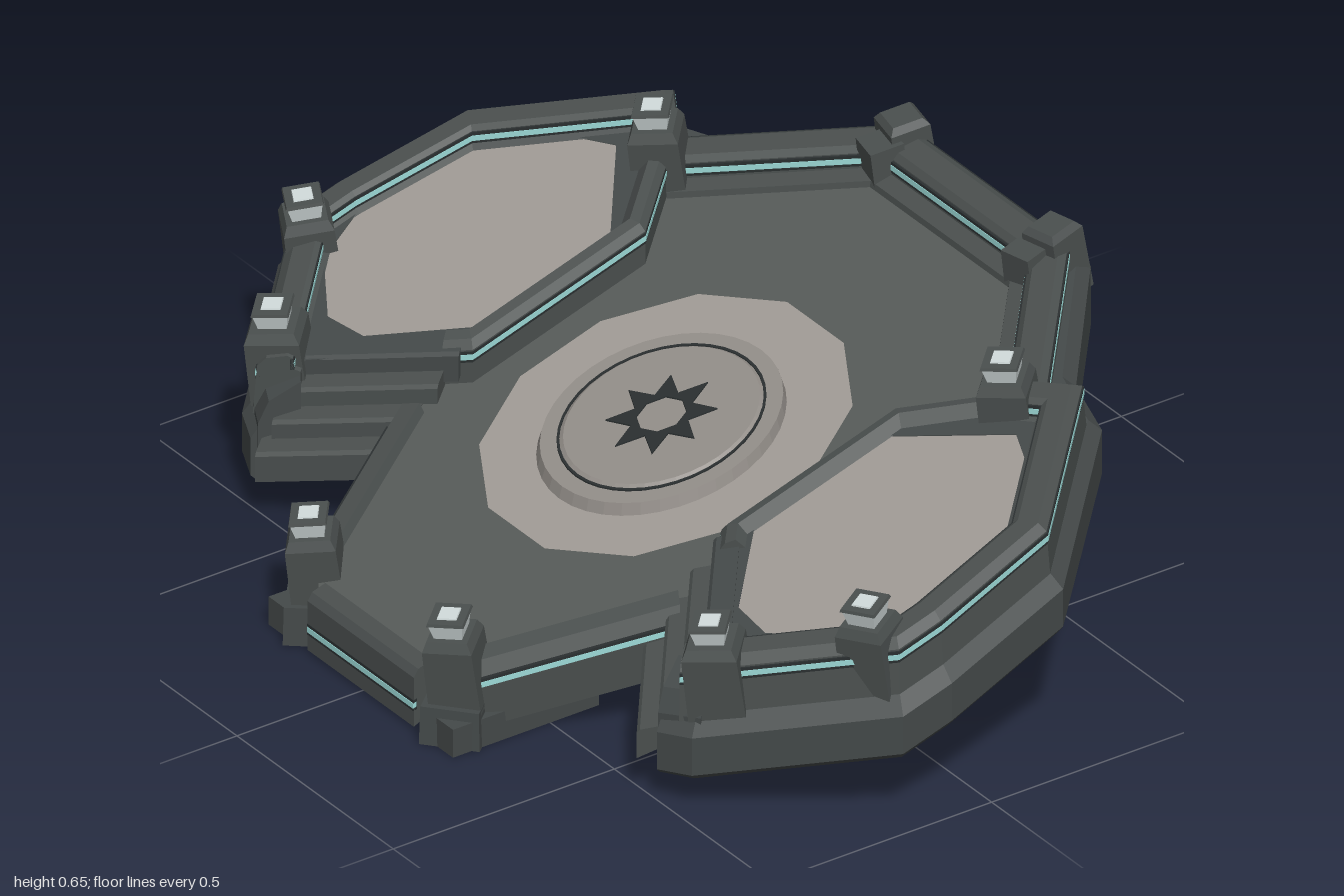
import * as THREE from 'three';

const material = (name, hex, side = THREE.FrontSide) => {
  const m = new THREE.MeshStandardMaterial({ color: hex, side });
  m.name = name;
  return m;
};

export function createModel() {
  const root = new THREE.Group();
  root.name = 'tiltedPlatform';
  const D = THREE.DoubleSide;
  const wall = material('slateWall', 0x4a4f4e);
  const ledge = material('darkSlate', 0x444949);
  const floor = material('stoneFloor', 0x565a58, D);
  const tile = material('paleTile', 0xa09a95, D);
  const disc = material('discStone', 0x928d88, D);
  const seam = material('darkInlay', 0x2a2f30, D);
  const glow = material('cyanGlow', 0x9cdad7);
  const lamp = material('paleLamp', 0xd0dada);

  // Heights are measured from the main floor, which climbs towards the back.
  const rise = z => 0.344 - 0.31 * z;
  function add(name, mat, geometry, tilted = true) {
    const g = geometry.index ? geometry.toNonIndexed() : geometry;
    const p = g.attributes.position;
    if (tilted) for (let i = 0; i < p.count; i++) p.setY(i, p.getY(i) + rise(p.getZ(i)));
    g.computeVertexNormals();
    const mesh = new THREE.Mesh(g, mat);
    mesh.name = name;
    root.add(mesh);
    return mesh;
  }

  // Mirroring: the reversed order keeps the outward side of a path.
  const flip = pts => pts.map(([x, z]) => [-x, z]).reverse();
  const both = fn => [1, -1].forEach(s => fn(s, pts => (s > 0 ? pts : flip(pts))));

  // Sweeps a closed section of [outward, height] points along a mitred path of [x, z].
  // drop(z) lowers the underside of the section.
  function rail(name, mat, path, section, drop = () => 0) {
    const n = path.length, k = section.length, pos = [], idx = [];
    const normal = (a, b) => new THREE.Vector2(-(b[1] - a[1]), b[0] - a[0]).normalize();
    path.forEach((p, j) => {
      const n1 = normal(path[Math.max(0, j - 1)], path[Math.max(1, j)]);
      const n2 = normal(path[Math.min(n - 2, j)], path[Math.min(n - 1, j + 1)]);
      const m = n1.clone().add(n2);
      m.multiplyScalar(2 / m.lengthSq());
      section.forEach(([o, h]) => pos.push(
        p[0] + m.x * o, h - (h < -0.06 ? drop(p[1]) : 0), p[1] + m.y * o));
    });
    for (let j = 0; j < n - 1; j++) for (let i = 0; i < k; i++) {
      const a = j * k + i, b = j * k + (i + 1) % k, c = b + k, d = a + k;
      idx.push(a, d, c, a, c, b);
    }
    const e = (n - 1) * k;
    for (let i = 1; i < k - 1; i++) idx.push(0, i, i + 1, e, e + i + 1, e + i);
    const g = new THREE.BufferGeometry();
    g.setAttribute('position', new THREE.Float32BufferAttribute(pos, 3));
    g.setIndex(idx);
    return add(name, mat, g);
  }
  // Thin bar of light; sign is the side of the wall it shows on. A dark line frames it.
  function strip(path, out, h, sign = 1) {
    const bar = (name, mat, face, y0, y1) => {
      const o = Math.max(face, face - sign * 0.008), i = Math.min(face, face - sign * 0.008);
      rail(name, mat, path, [[o, y0], [o, y1], [i, y1], [i, y0]]);
    };
    bar('glowStrip', glow, out, h, h + 0.011);
    bar('glowGroove', seam, out - sign * 0.001, h - 0.006, h + 0.017);
  }

  // Flat slab from an outline, with optional holes; h is its top.
  const toV = pts => pts.map(([x, z]) => new THREE.Vector2(x, z));
  function plate(name, mat, pts, h, holes = [], depth = 0.009) {
    const s = new THREE.Shape(toV(pts));
    holes.forEach(q => s.holes.push(new THREE.Path(toV(q))));
    const g = new THREE.ExtrudeGeometry(s, { depth, bevelEnabled: false });
    return add(name, mat, g.rotateX(Math.PI / 2).translate(0, h, 0));
  }
  const ring = (n, r, cz, turn = 0, r2 = r) => Array.from({ length: n }, (_, i) => {
    const a = turn + i / n * Math.PI * 2, q = i % 2 ? r2 : r;
    return [Math.cos(a) * q, cz + Math.sin(a) * q];
  });

  // Four-sided tapered block between heights y0 and y1, leaning slightly forward.
  function block(name, mat, x, z, turn, y0, y1, w0, w1, lean = 0.15) {
    const g = new THREE.CylinderGeometry(w1 * Math.SQRT2, w0 * Math.SQRT2, y1 - y0, 4);
    g.rotateY(Math.PI / 4 + turn).translate(0, (y0 + y1) / 2, 0);
    return add(name, mat, g.rotateX(lean).translate(x, rise(z), z), false);
  }
  function post(x, z, turn, y0, y1, w) {
    block('postBody', wall, x, z, turn, y0, y1 - 0.02, w, w * 0.95);
    block('postShoulder', wall, x, z, turn, y1 - 0.02, y1, w * 0.95, w * 0.78);
    block('postLamp', lamp, x, z, turn, y1, y1 + 0.032, 0.027, 0.033);
    block('lampRim', wall, x, z, turn, y1 + 0.032, y1 + 0.038, 0.036, 0.034);
    block('lampTop', lamp, x, z, turn, y1 + 0.038, y1 + 0.041, 0.019, 0.018);
  }

  // Main floor, pale surround and central disc
  const cz = 0.04;
  const surround = ring(12, 0.35, 0.03, Math.PI / 12);
  const floorHalf = [[0.15, 0.71], [0.22, 0.66], [0.42, 0.32], [0.44, 0.2], [0.44, -0.2], [0.57, -0.38], [0.25, -0.65]];
  plate('mainFloor', floor, [...floorHalf, ...flip(floorHalf)], 0, [surround]);
  plate('paleSurround', tile, surround, 0, [ring(40, 0.21, cz)]);
  const drum = (name, mat, r0, r1, y0, y1) => add(name, mat,
    new THREE.CylinderGeometry(r1, r0, y1 - y0, 40).translate(0, (y0 + y1) / 2, cz));
  drum('discRim', disc, 0.235, 0.225, -0.012, 0.022);
  drum('discTop', disc, 0.19, 0.182, 0.022, 0.028);
  plate('discSeam', seam, ring(40, 0.194, cz), 0.025, [ring(40, 0.189, cz)], 0.005);
  for (const h of [0.031, -0.011]) {
    plate('starInlay', seam, ring(16, 0.105, cz, 0, 0.058), h, [ring(8, 0.047, cz)], 0.005);
  }

  // Outer skirt running round the back from stair to stair, deeper at the back
  const skirtHalf = [[0.65, 0.51], [0.72, 0.48], [1, 0.2], [1, 0.09], [0.96, -0.19], [0.66, -0.49], [0.52, -0.53], [0.27, -0.74]];
  rail('outerSkirt', ledge, [...skirtHalf, ...flip(skirtHalf)],
    [[-0.012, -0.125], [0, -0.11], [0, -0.03], [-0.025, 0], [-0.13, 0], [-0.13, -0.05], [-0.08, -0.125]],
    z => Math.max(0, -z - 0.4) * 0.14);

  // Back parapet
  const backHalf = [[0.58, -0.41], [0.26, -0.69]];
  const back = [...backHalf, ...flip(backHalf)];
  rail('backParapet', wall, back,
    [[0.01, -0.02], [0.005, 0.045], [-0.01, 0.055], [-0.055, 0.055], [-0.065, 0.045], [-0.068, 0.015], [-0.1, 0.012], [-0.105, -0.02]]);
  strip(back, 0.01, 0.026);
  strip(back, -0.07, 0.026, -1);

  // Front wall with its glow on both faces
  const front = [[-0.17, 0.72], [0.17, 0.72]];
  rail('frontWall', wall, front,
    [[0, -0.115], [0, -0.01], [-0.01, 0.003], [-0.04, 0.003], [-0.05, -0.02], [-0.05, -0.105]]);
  strip(front, 0.002, -0.075);
  strip(front, -0.052, -0.065, -1);

  both((s, m) => {
    // Flat feet and front posts
    add('frontFoot', ledge, new THREE.BoxGeometry(0.09, 0.06, 0.33).translate(s * 0.25, 0.03, 0.555), false);
    const turn = s * 0.7;
    block('frontPostBase', ledge, s * 0.225, 0.661, turn, -rise(0.661), 0.08 - rise(0.661), 0.058, 0.056, 0);
    post(s * 0.225, 0.661, turn, -0.07, 0.085, 0.05);

    // Entrance side rail
    const side = m([[0.22, 0.69], [0.44, 0.31]]);
    rail('entranceRail', wall, side,
      [[0.02, -0.12], [0.025, -0.03], [0.005, 0.015], [-0.03, 0.02], [-0.045, -0.01], [-0.045, -0.11]]);
    strip(side, 0.025, -0.03);

    // Raised side terrace
    const tiles = m([[0.88, -0.19], [0.83, -0.23], [0.64, -0.31], [0.44, -0.155], [0.44, 0.14], [0.6, 0.29], [0.7, 0.3], [0.84, 0.21], [0.89, 0.1]]);
    const edge = m([[0.93, -0.18], [0.64, -0.43], [0.58, -0.36], [0.41, -0.2], [0.41, 0.18], [0.66, 0.42], [0.95, 0.17]]);
    plate('terraceFrame', ledge, edge, 0.07, [tiles]);
    plate('terraceTiles', tile, tiles, 0.068);

    // Terrace outer parapet
    const outer = m([[0.7, 0.5], [1, 0.2], [1, 0.09], [0.96, -0.19], [0.66, -0.49], [0.54, -0.42]]);
    rail('terraceParapet', wall, outer,
      [[-0.025, -0.01], [-0.033, 0.09], [-0.05, 0.105], [-0.09, 0.105], [-0.1, 0.098], [-0.102, 0.075], [-0.115, 0.068], [-0.115, -0.01]]);
    strip(outer, -0.029, 0.07);
    strip(outer, -0.104, 0.08, -1);

    // Terrace inner wall
    const inner = m([[0.59, -0.4], [0.41, -0.2], [0.41, 0.18], [0.45, 0.215]]);
    rail('terraceInnerWall', wall, inner,
      [[0.012, -0.05], [0.012, 0.07], [0, 0.085], [-0.02, 0.09], [-0.04, 0.068], [-0.04, 0.05], [-0.02, -0.05]]);
    strip(inner, 0.014, 0.05);

    // Stair: a threshold and three falling treads, open underneath
    for (let i = 0; i < 4; i++) {
      const line = m([[0.42 - 0.003 * i, 0.195 + 0.05 * i], [0.65 - 0.009 * i, 0.38 + 0.044 * i]]);
      const top = 0.074 - i * 0.036;
      rail(i ? 'stairTread' : 'stairThreshold', i ? wall : ledge, line,
        [[0.02, top - 0.06], [0.02, top - 0.006], [0.014, top], [-0.03, top], [-0.03, top - 0.045]]);
    }
    // Block beside the stair, under the corner post
    rail('stairFlank', ledge, m([[0.64, 0.5], [0.72, 0.46]]),
      [[0, -0.1], [0, 0], [-0.02, 0.04], [-0.08, 0.06], [-0.08, -0.08]]);

    // Terrace posts and plain back posts
    post(s * 0.7, 0.4, s * Math.PI / 4, -0.02, 0.135, 0.055);
    post(s * 0.9, 0.19, s * 0.5, -0.02, 0.135, 0.05);
    post(s * 0.56, -0.36, s * 0.75, -0.02, 0.135, 0.05);
    block('backPost', wall, s * 0.235, -0.63, s * 0.2, -0.02, 0.07, 0.036, 0.034);
    block('backPost', wall, s * 0.24, -0.685, s * 0.2, -0.06, 0.075, 0.043, 0.04);
    block('backPostTop', wall, s * 0.24, -0.685, s * 0.2, 0.075, 0.088, 0.04, 0.03);
  });

  return root;
}
